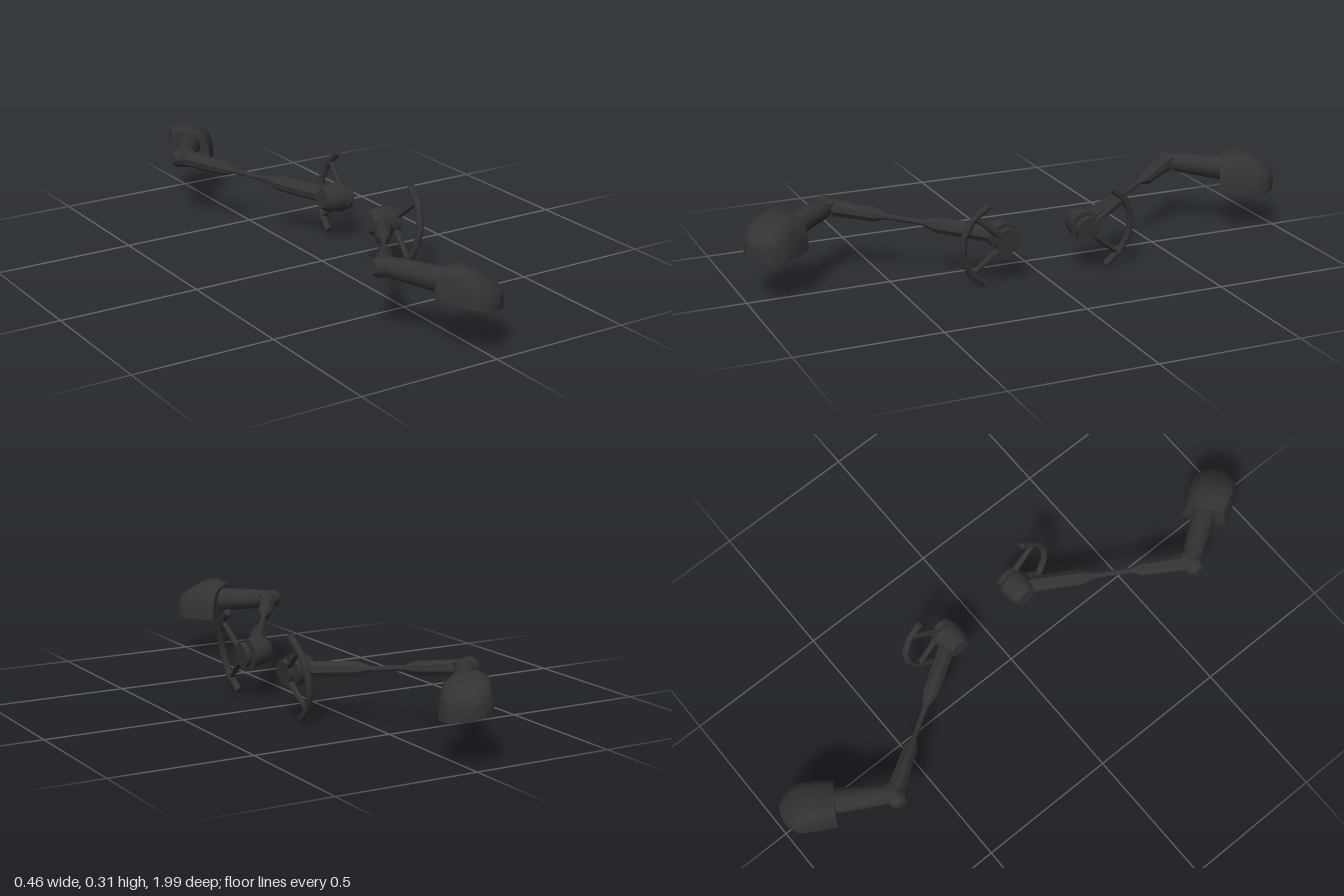
import * as THREE from 'three';
import { toCreasedNormals } from 'three/addons/utils/BufferGeometryUtils.js';

const V = (x, y, z) => new THREE.Vector3(x, y, z);

export function createModel() {
  const model = new THREE.Group();
  const charcoal = new THREE.MeshStandardMaterial({ color: 0x333333 });
  charcoal.name = 'charcoal';

  // side is 1 for the front arm and -1 for its mirrored twin at the back
  function buildArm(side) {
    const arm = new THREE.Group();
    arm.name = side > 0 ? 'frontArm' : 'backArm';

    function add(name, geometry) {
      const mesh = new THREE.Mesh(toCreasedNormals(geometry, 0.7), charcoal);
      mesh.name = name;
      arm.add(mesh);
      return mesh;
    }

    // closed round limb from a to b; profile holds [fraction along, radius]
    function limb(name, a, b, profile, sides = 8) {
      const start = V(a[0], a[1], a[2] * side), end = V(b[0], b[1], b[2] * side);
      const dir = end.clone().sub(start), len = dir.length();
      const pts = profile.map(([t, r]) => new THREE.Vector2(r, t * len));
      pts.unshift(new THREE.Vector2(0, profile[0][0] * len));
      pts.push(new THREE.Vector2(0, profile[profile.length - 1][0] * len));
      const mesh = add(name, new THREE.LatheGeometry(pts, sides));
      mesh.position.copy(start);
      mesh.quaternion.setFromUnitVectors(V(0, 1, 0), dir.normalize());
    }

    // shoulder hub, axle and disc
    limb('shoulderHub', [0.095, 0.171, 0.15], [0.172, 0.163, 0.15],
      [[0, 0.036], [0.22, 0.047], [0.6, 0.052], [1, 0.054]], 12);
    limb('axle', [0.165, 0.164, 0.15], [0.19, 0.16, 0.15], [[0, 0.021], [1, 0.021]], 10);
    limb('shoulderDisc', [0.184, 0.161, 0.15], [0.202, 0.159, 0.15], [[0, 0.045], [1, 0.045]], 12);

    // open guard ring on two spokes, leaning with the shoulder
    const ringPoint = (angle, r) => [
      0.193 + 0.15 * r * Math.sin(angle), 0.157 + r * Math.sin(angle), 0.15 + r * Math.cos(angle)];
    const reach = 1.08, radius = 0.162, tube = 0.0125, path = new THREE.CurvePath();
    for (let i = 0; i < 5; i++) {
      const [p, q] = [i, i + 1].map(k => {
        const [x, y, z] = ringPoint(-reach + 2 * reach * k / 5, radius);
        return V(x, y, z * side);
      });
      path.add(new THREE.LineCurve3(p, q));
    }
    add('guardRing', new THREE.TubeGeometry(path, 5, tube, 8, false));
    for (const s of [-1, 1]) {
      limb('ringEnd', ringPoint(s * reach, radius), ringPoint(s * (reach + 0.02), radius),
        [[0, tube], [1, tube]]);
      limb('spoke', ringPoint(s * 0.78, 0.03), ringPoint(s * 0.7, radius - 0.004),
        [[0, 0.012], [1, 0.009]], 6);
    }

    // forearm with a slim rod in the middle
    limb('forearm', [0.15, 0.164, 0.15], [-0.183, 0.235, 0.655],
      [[0, 0.03], [0.37, 0.028], [0.44, 0.013], [0.455, 0.01], [0.66, 0.01], [0.72, 0.026], [1, 0.03]]);

    // elbow and outer arm
    limb('elbow', [-0.23, 0.239, 0.657], [-0.15, 0.229, 0.657],
      [[0, 0.02], [0.2, 0.033], [0.85, 0.034], [1, 0.028]], 10);
    limb('outerArm', [-0.18, 0.236, 0.66], [-0.04, 0.212, 0.87],
      [[0, 0.031], [0.15, 0.036], [1, 0.046]], 10);

    // hooded foot: domed cross-sections [forward, half width, height]
    const sections = [[0, 0.078, 0.108], [0.05, 0.083, 0.123], [0.095, 0.086, 0.118],
      [0.135, 0.083, 0.098], [0.17, 0.058, 0.073], [0.188, 0.022, 0.054]];
    const dome = [[-1, 0], [-0.98, 0.45], [-0.82, 0.8], [-0.45, 0.98],
      [0.45, 0.98], [0.82, 0.8], [0.98, 0.45], [1, 0]];
    const n = dome.length, pos = [], idx = [];
    const put = (u, s, h) =>
      pos.push(-0.075 + 0.54 * u + 0.84 * s, 0.163 - 0.16 * s - 0.04 * u + h, (0.82 + 0.84 * u - 0.54 * s) * side);
    const face = (a, b, c) => idx.push(...(side > 0 ? [a, b, c] : [a, c, b]));
    for (const [u, w, h] of sections) for (const [s, t] of dome) put(u, s * w, t * h);
    for (let i = 0; i < sections.length - 1; i++) {
      for (let j = 0; j < n; j++) {
        const k = (j + 1) % n, a = i * n + j, b = i * n + k;
        face(a, a + n, b);
        face(b, a + n, b + n);
      }
    }
    const last = (sections.length - 1) * n;
    for (let j = 1; j < n - 1; j++) {
      face(0, j, j + 1);
      face(last, last + j + 1, last + j);
    }
    // s runs to the left of forward, so check the winding once from the solid's volume
    const at = i => V(pos[3 * i], pos[3 * i + 1], pos[3 * i + 2]);
    let volume = 0;
    for (let i = 0; i < idx.length; i += 3) volume += at(idx[i]).dot(at(idx[i + 1]).cross(at(idx[i + 2])));
    if (volume < 0) idx.reverse();
    const foot = new THREE.BufferGeometry();
    foot.setAttribute('position', new THREE.Float32BufferAttribute(pos, 3));
    foot.setIndex(idx);
    add('foot', foot);

    return arm;
  }

  model.add(buildArm(1), buildArm(-1));
  return model;
}
